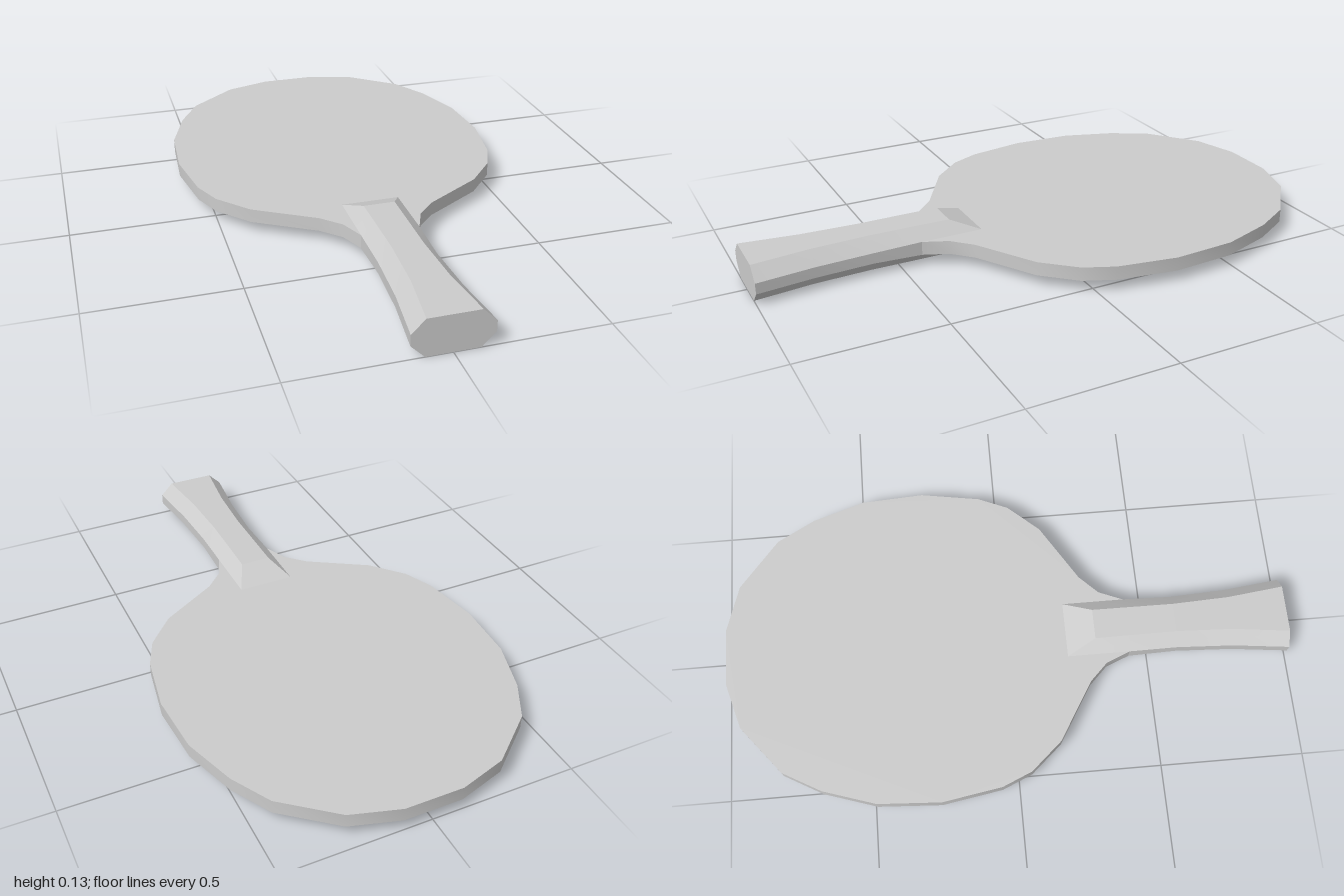
import * as THREE from 'three';
import { toCreasedNormals } from 'three/addons/utils/BufferGeometryUtils.js';

const MID = 0.064; // height of the centre plane
const HALF = 0.024; // half thickness of the blade

function part(name, geometry, crease) {
  const material = new THREE.MeshStandardMaterial({ color: 0xcccccc });
  const mesh = new THREE.Mesh(toCreasedNormals(geometry, crease), material);
  mesh.name = name;
  return mesh;
}

// Flat blade: mirrored half outline (x, z), extruded to its thickness
function bladeGeometry() {
  const half = [
    [0.1, -1], [0.265, -0.95], [0.435, -0.81], [0.51, -0.675], [0.57, -0.49], [0.583, -0.27],
    [0.548, -0.06], [0.503, 0.045], [0.405, 0.155], [0.2, 0.28], [0.135, 0.345], [0.1, 0.43],
  ].map(([x, z]) => new THREE.Vector2(x, z));
  const mirrored = half.map((p) => new THREE.Vector2(-p.x, p.y)).reverse();
  const geometry = new THREE.ExtrudeGeometry(new THREE.Shape([...half, ...mirrored]), {
    depth: HALF * 2,
    bevelEnabled: false,
  });
  return geometry.rotateX(Math.PI / 2).translate(0, MID + HALF, 0);
}

// Flared eight-sided handle lofted along z, with a wedge where it meets the blade
function handleGeometry() {
  // z, half width at the sides, half width of the flats, half height of the sides, half height
  const sections = [
    [0.21, 0.1, 0.1, HALF, HALF],
    [0.31, 0.1, 0.054, HALF, 0.063],
    [0.43, 0.1, 0.053, HALF, 0.064],
    [0.6, 0.097, 0.052, 0.019, 0.064],
    [0.8, 0.107, 0.061, 0.019, 0.064],
    [1, 0.13, 0.085, 0.019, 0.064],
  ];
  const positions = [];
  const index = [];
  for (const [z, w, t, m, h] of sections) {
    const ring = [[w, -m], [w, m], [t, h], [-t, h], [-w, m], [-w, -m], [-t, -h], [t, -h]];
    for (const [x, y] of ring) positions.push(x, MID + y, z);
  }
  const last = (sections.length - 1) * 8;
  for (let i = 0; i < last; i += 8) {
    for (let j = 0; j < 8; j++) {
      const k = (j + 1) % 8;
      index.push(i + j, i + k, i + 8 + k, i + j, i + 8 + k, i + 8 + j);
    }
  }
  // End caps
  for (let j = 1; j < 7; j++) {
    index.push(last, last + j, last + j + 1);
    index.push(0, j + 1, j);
  }
  const geometry = new THREE.BufferGeometry();
  geometry.setAttribute('position', new THREE.Float32BufferAttribute(positions, 3));
  geometry.setIndex(index);
  return geometry;
}

export function createModel() {
  const paddle = new THREE.Group();
  paddle.name = 'paddle';
  paddle.add(part('blade', bladeGeometry(), Math.PI / 4));
  paddle.add(part('handle', handleGeometry(), Math.PI / 9));
  return paddle;
}
